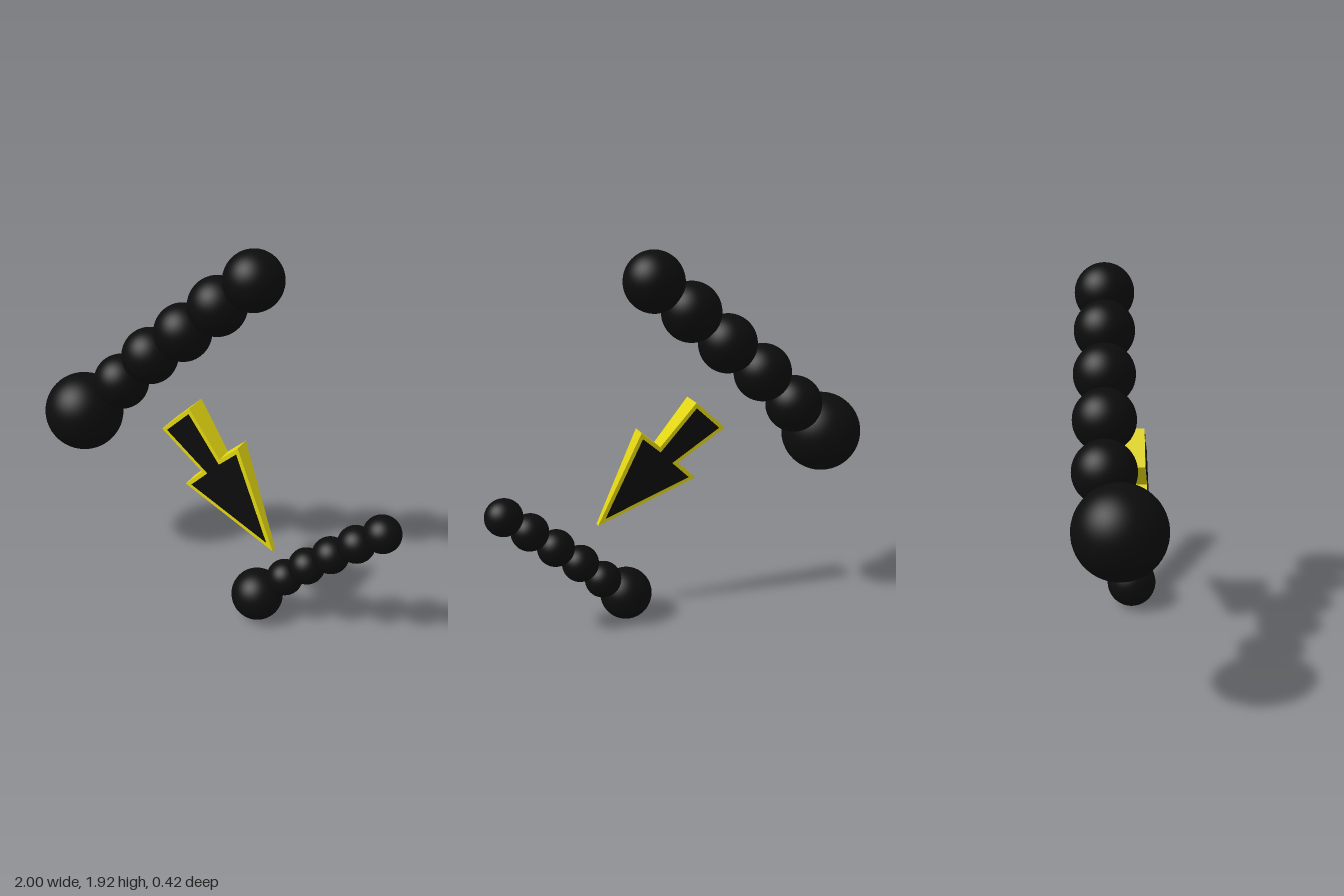
import * as THREE from 'three';

const black = new THREE.MeshStandardMaterial({ color: 0x0c0c0c });
black.name = 'black';
const yellow = new THREE.MeshStandardMaterial({ color: 0xe2d612 });
yellow.name = 'yellow';

// Chain of balls: one large head ball followed by equal smaller ones
function ballChain(name, head, headRadius, links, linkRadius, linkZ) {
  const chain = new THREE.Group();
  chain.name = name;
  const addBall = (ballName, r, x, y, z) => {
    const ball = new THREE.Mesh(new THREE.SphereGeometry(r, 48, 32), black);
    ball.name = ballName;
    ball.position.set(x, y, z);
    chain.add(ball);
  };
  addBall('headBall', headRadius, ...head);
  links.forEach(([x, y], i) => addBall('linkBall' + (i + 1), linkRadius, x, y, linkZ));
  return chain;
}

// Arrow outline, counter-clockwise from the tail
const outline = [
  [-0.23, 1.013], [0.005, 0.835], [-0.09, 0.742], [0.41, 0.51],
  [0.197, 1.015], [0.1, 0.93], [-0.075, 1.158],
].map(([x, y]) => new THREE.Vector2(x, y));
const tail = new THREE.Vector2(-0.15, 1.085);
const axis = new THREE.Vector2(0.41, 0.51).sub(tail);

// Move every edge of the outline inwards by d
function inset(points, d) {
  const n = points.length;
  return points.map((p, i) => {
    const a = p.clone().sub(points[(i + n - 1) % n]).normalize();
    const b = points[(i + 1) % n].clone().sub(p).normalize();
    const na = new THREE.Vector2(-a.y, a.x);
    const nb = new THREE.Vector2(-b.y, b.x);
    return p.clone().addScaledVector(na.clone().add(nb), d / (1 + na.dot(nb)));
  });
}

// Slab whose thickness tapers from tail to tip; from/to are 0 (back) or 1 (front)
function taperedSlab(points, from, to, pad) {
  const geo = new THREE.ExtrudeGeometry(new THREE.Shape(points), { depth: 1, bevelEnabled: false });
  const pos = geo.attributes.position;
  const p = new THREE.Vector2();
  for (let i = 0; i < pos.count; i++) {
    p.set(pos.getX(i), pos.getY(i)).sub(tail);
    const t = p.dot(axis) / axis.lengthSq();
    const back = THREE.MathUtils.lerp(0.0, 0.147, t);
    const front = THREE.MathUtils.lerp(0.127, 0.178, t);
    const far = pos.getZ(i) > 0.5;
    pos.setZ(i, THREE.MathUtils.lerp(back, front, far ? to : from) + (far ? pad : -pad));
  }
  geo.computeVertexNormals();
  return geo;
}

export function createModel() {
  const model = new THREE.Group();
  model.name = 'ballChainsWithArrow';

  model.add(ballChain('largeChain', [-0.79, 0.93, 0], 0.208,
    [[-0.585, 1.12], [-0.403, 1.3], [-0.21, 1.46], [-0.02, 1.625], [0.165, 1.775]], 0.145, -0.065));
  model.add(ballChain('smallChain', [0.29, 0.137, 0.078], 0.135,
    [[0.424, 0.262], [0.539, 0.372], [0.66, 0.478], [0.784, 0.583], [0.905, 0.68]], 0.093, 0.035));

  // Arrow body with a black panel on each face
  const arrow = new THREE.Group();
  arrow.name = 'arrow';
  const panel = inset(outline, 0.02);
  const parts = [
    ['arrowBody', taperedSlab(outline, 0, 1, 0), yellow],
    ['frontPanel', taperedSlab(panel, 1, 1, 0.003), black],
    ['backPanel', taperedSlab(panel, 0, 0, 0.003), black],
  ];
  for (const [name, geo, mat] of parts) {
    const mesh = new THREE.Mesh(geo, mat);
    mesh.name = name;
    arrow.add(mesh);
  }
  model.add(arrow);
  return model;
}
